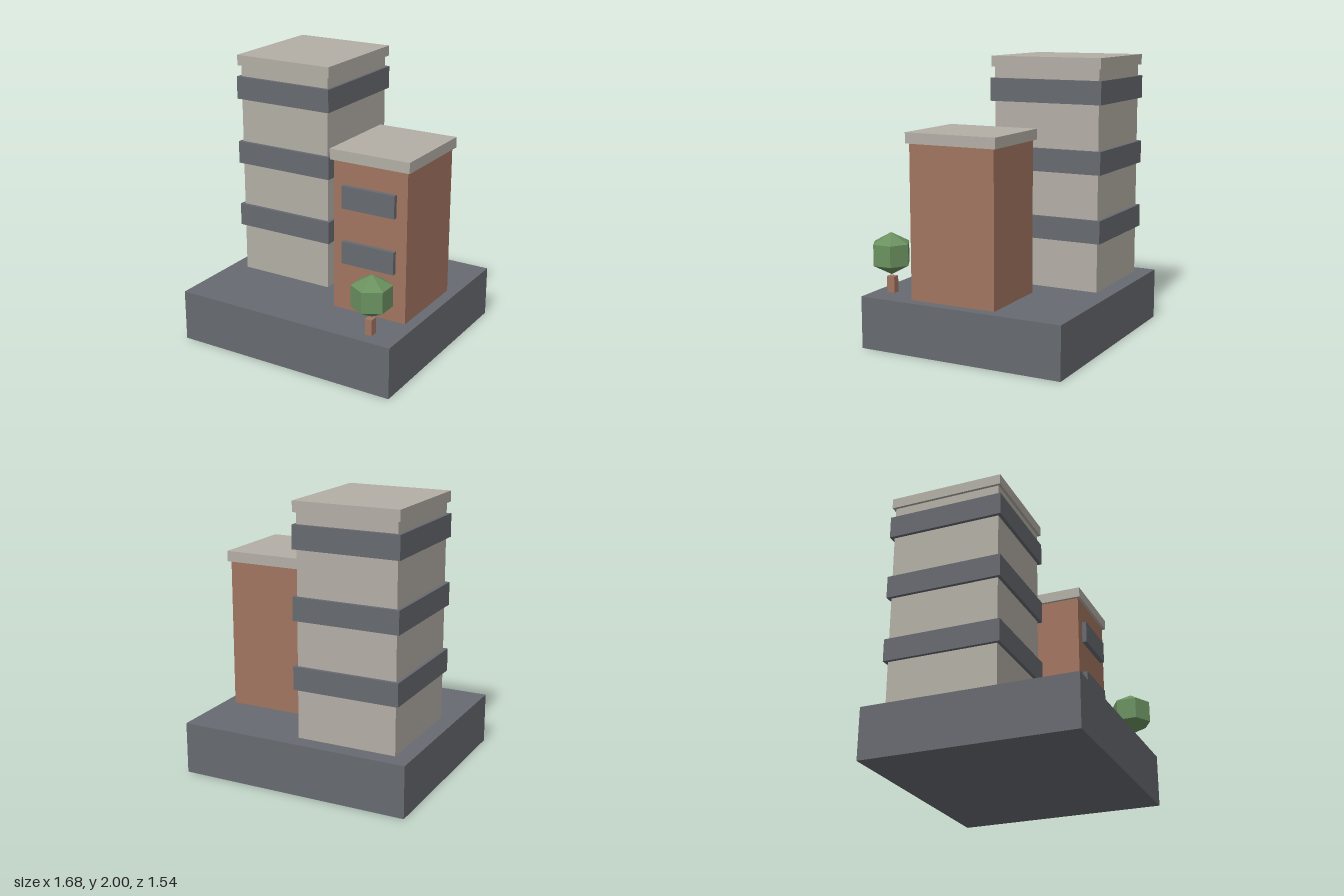
import * as THREE from 'three';

const material = (name, color) => {
  const m = new THREE.MeshStandardMaterial({ color, flatShading: true });
  m.name = name;
  return m;
};

// Box given by its min and max on each axis
function block(name, mat, [x0, x1], [y0, y1], [z0, z1]) {
  const mesh = new THREE.Mesh(new THREE.BoxGeometry(x1 - x0, y1 - y0, z1 - z0), mat);
  mesh.name = name;
  mesh.position.set((x0 + x1) / 2, (y0 + y1) / 2, (z0 + z1) / 2);
  return mesh;
}

function group(name, ...parts) {
  const g = new THREE.Group();
  g.name = name;
  g.add(...parts);
  return g;
}

export function createModel() {
  const concrete = material('concrete', 0xb3afa6);
  const brick = material('brick', 0xa27561);
  const slate = material('slate', 0x676a70);
  const leaf = material('leaf', 0x6b9160);

  const ground = 0.37;
  const base = block('base', slate, [-0.84, 0.84], [0, ground], [-0.77, 0.75]);

  // Tall tower with three window bands wrapped around it
  const tower = group('tower',
    block('towerWalls', concrete, [-0.72, 0], [ground, 1.93], [-0.65, 0.15]),
    block('towerRoof', concrete, [-0.74, 0.02], [1.925, 2], [-0.67, 0.17]));
  for (let i = 0; i < 3; i++) {
    const y = 0.72 + i * 0.481;
    tower.add(block('windowBand', slate, [-0.745, 0.022], [y, y + 0.163], [-0.675, 0.175]));
  }

  // Lower brick building with two front windows
  const annex = group('brickBuilding',
    block('brickWalls', brick, [0.2, 0.76], [ground, 1.445], [-0.25, 0.39]),
    block('brickRoof', concrete, [0.18, 0.78], [1.445, 1.52], [-0.27, 0.41]));
  for (const y of [0.723, 1.12]) {
    annex.add(block('frontWindow', slate, [0.28, 0.68], [y, y + 0.16], [0.385, 0.423]));
  }

  // Small tree with a faceted crown floating just above its trunk
  const crown = new THREE.Mesh(new THREE.SphereGeometry(0.16, 6, 3), leaf);
  crown.name = 'treeCrown';
  crown.scale.y = 0.94;
  crown.rotation.y = Math.PI / 2;
  crown.position.set(0.638, 0.648, 0.63);
  const tree = group('tree', crown,
    block('treeTrunk', brick, [0.605, 0.655], [ground, 0.485], [0.6, 0.66]));

  return group('cityBlock', base, tower, annex, tree);
}
